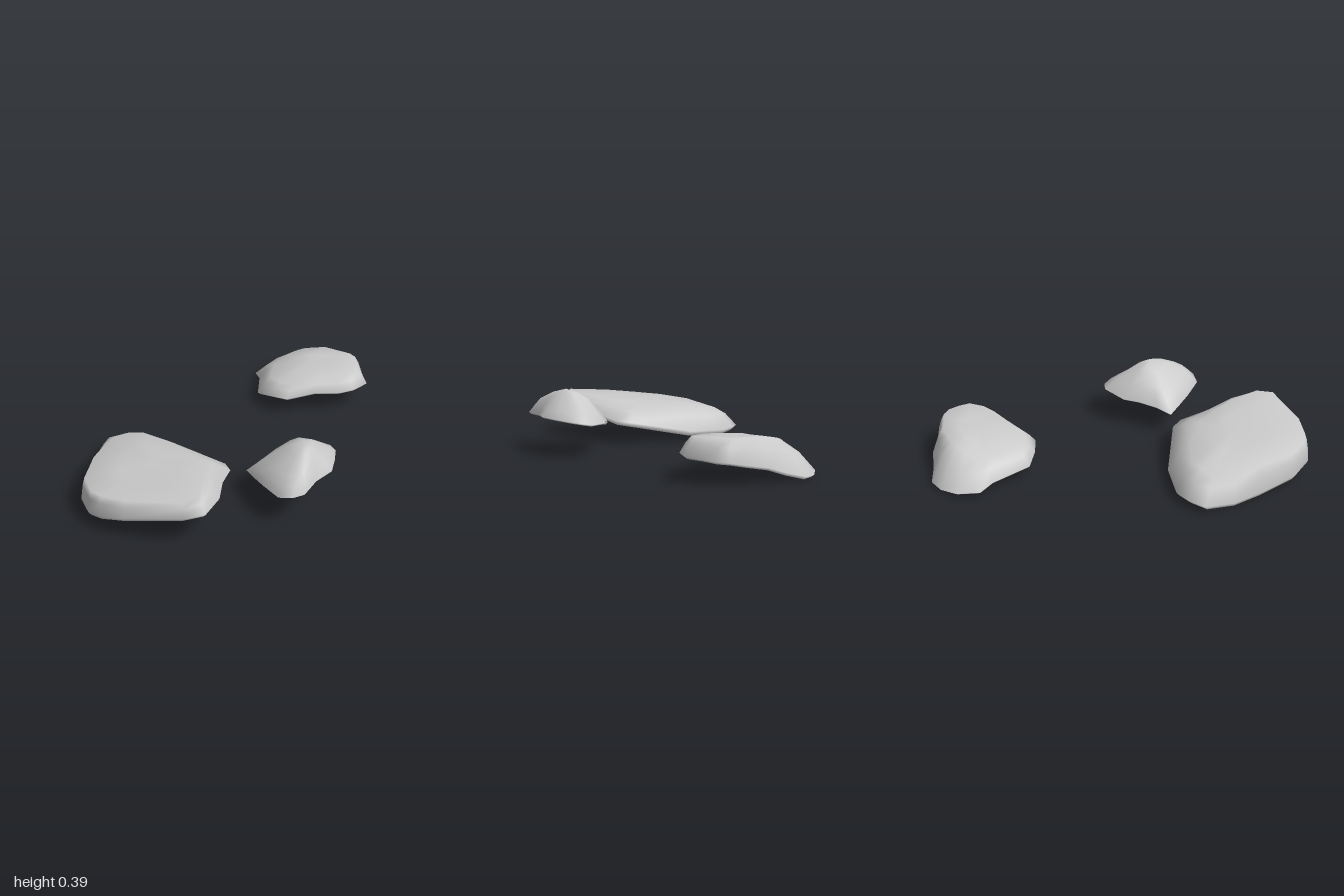
import * as THREE from 'three';

const stone = new THREE.MeshStandardMaterial({ color: 0xcacaca, side: THREE.DoubleSide });
stone.name = 'stone grey';

// Each rock is an open shell. Outline rows: x, z, rim height, shoulder height, shoulder scale.
const slabOutline = [
  [-0.78, -0.16, 0.05, 0.17, 0.76], [-0.66, -0.17, 0.055, 0.19, 0.74], [-0.55, -0.14, 0.05, 0.19, 0.74],
  [-0.36, 0.02, 0.06, 0.2, 0.66], [-0.13, 0.36, 0.135, 0.22, 0.58], [-0.12, 0.45, 0.145, 0.225, 0.57],
  [-0.2, 0.61, 0.175, 0.25, 0.66], [-0.26, 0.8, 0.2, 0.265, 0.75], [-0.37, 0.96, 0.22, 0.28, 0.85],
  [-0.49, 0.96, 0.21, 0.285, 0.92], [-0.8, 0.8, 0.15, 0.25, 0.94], [-0.92, 0.69, 0.11, 0.23, 0.94],
  [-0.97, 0.61, 0.09, 0.22, 0.94], [-0.99, 0.44, 0.07, 0.21, 0.94], [-0.92, 0.2, 0.04, 0.2, 0.9],
  [-0.86, 0.01, 0.03, 0.18, 0.82],
];
const backOutline = [
  [0.35, -0.86, 0.03, 0.16, 0.62], [0.46, -0.95, 0.02, 0.19, 0.56], [0.57, -0.97, 0.015, 0.21, 0.54],
  [0.67, -0.95, 0.02, 0.225, 0.55], [0.75, -0.86, 0.05, 0.235, 0.65], [0.84, -0.78, 0.09, 0.245, 0.76],
  [0.91, -0.67, 0.11, 0.25, 0.83], [0.98, -0.6, 0.13, 0.25, 0.84], [0.995, -0.53, 0.135, 0.255, 0.85],
  [0.97, -0.45, 0.14, 0.255, 0.88], [0.97, -0.35, 0.15, 0.25, 0.82], [0.87, -0.29, 0.15, 0.24, 0.8],
  [0.77, -0.28, 0.145, 0.23, 0.79], [0.61, -0.32, 0.14, 0.22, 0.84], [0.42, -0.31, 0.125, 0.19, 0.8],
  [0.34, -0.4, 0.11, 0.18, 0.78], [0.28, -0.51, 0.08, 0.175, 0.76], [0.35, -0.75, 0.05, 0.165, 0.72],
];
const peakOutline = [
  [-0.03, 0.47, 0.145, 0.25, 0.66], [0.06, 0.44, 0.175, 0.29, 0.64], [0.19, 0.41, 0.185, 0.33, 0.6],
  [0.28, 0.36, 0.195, 0.34, 0.5], [0.45, 0.38, 0.205, 0.32, 0.5], [0.49, 0.42, 0.215, 0.31, 0.52],
  [0.5, 0.5, 0.225, 0.31, 0.5], [0.46, 0.61, 0.23, 0.32, 0.5], [0.41, 0.72, 0.235, 0.32, 0.55],
  [0.3, 0.79, 0.23, 0.34, 0.6], [0.2, 0.9, 0.225, 0.32, 0.68], [0.13, 0.91, 0.22, 0.305, 0.72],
  [0.06, 0.86, 0.2, 0.29, 0.74], [0.01, 0.7, 0.185, 0.28, 0.74], [-0.01, 0.59, 0.165, 0.26, 0.72],
];

// Joins five rings (tucked lip, outline, side, shoulder, crown) and closes the top.
function rock(name, outline, [cx, cy, cz], lipDrop, bulge) {
  const n = outline.length;
  const positions = [];
  const index = [];
  const ring = (rule) => outline.forEach((p) => {
    const [scale, y] = rule(p);
    positions.push(cx + (p[0] - cx) * scale, y, cz + (p[1] - cz) * scale);
  });
  const { lerp } = THREE.MathUtils;
  ring(([, , rim]) => [0.95, Math.max(0, rim - lipDrop)]);
  ring(([, , rim]) => [1, rim]);
  ring(([, , rim, top, s]) => [(1 + s) / 2, lerp(rim, top, bulge)]);
  ring(([, , , top, s]) => [s, top]);
  ring(([, , , top, s]) => [s * 0.5, lerp(top, cy, 0.65)]);
  positions.push(cx, cy, cz);

  for (let r = 0; r < 5; r++) {
    for (let i = 0; i < n; i++) {
      const j = (i + 1) % n;
      const a = r * n + i;
      const b = r * n + j;
      if (r === 4) index.push(b, a, 5 * n);
      else index.push(b, a, a + n, b, a + n, b + n);
    }
  }
  const geometry = new THREE.BufferGeometry();
  geometry.setAttribute('position', new THREE.Float32BufferAttribute(positions, 3));
  geometry.setIndex(index);
  geometry.computeVertexNormals();
  const mesh = new THREE.Mesh(geometry, stone);
  mesh.name = name;
  return mesh;
}

export function createModel() {
  const group = new THREE.Group();
  group.name = 'rocks';
  group.add(
    rock('largeSlabRock', slabOutline, [-0.56, 0.24, 0.4], 0.03, 0.65),
    rock('backRock', backOutline, [0.65, 0.235, -0.57], 0.015, 0.62),
    rock('smallPeakedRock', peakOutline, [0.27, 0.39, 0.62], 0.01, 0.52),
  );
  return group;
}
